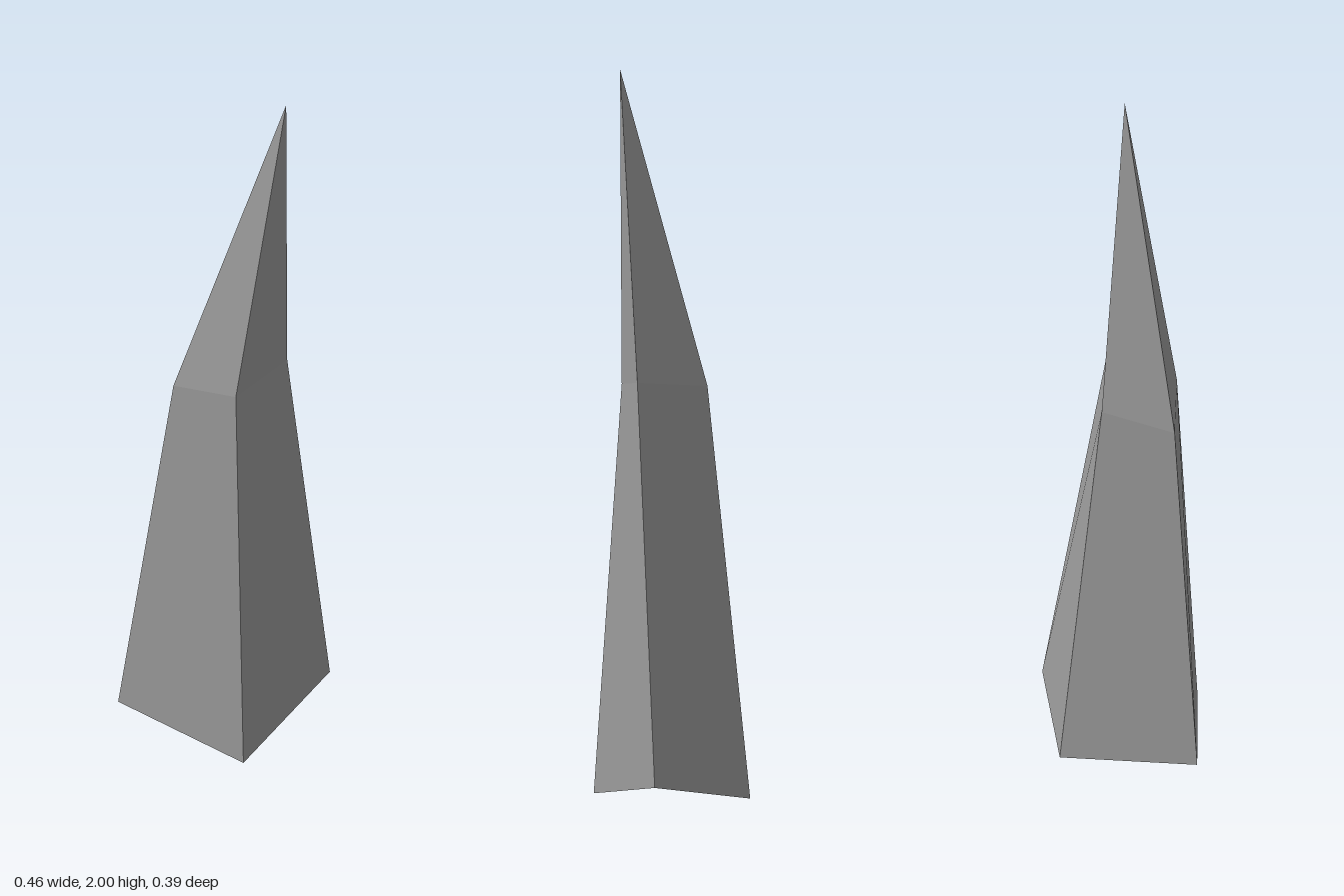
import * as THREE from 'three';

// Four-sided faceted spike: crooked base ring, bent shoulder ring, off-centre tip
export function createModel() {
  const ring = (corners) => corners.map((c) => new THREE.Vector3(...c));
  const base = ring([[-0.23, 0.07, -0.195], [0.15, 0.015, -0.129], [0.23, 0.07, 0.176], [-0.19, 0, 0.195]]);
  const shoulder = ring([[-0.155, 1.09, -0.065], [0.045, 1.13, -0.045], [0.056, 1.15, 0.161], [-0.14, 1.12, 0.133]]);
  const tip = new THREE.Vector3(0.008, 2, 0.193);

  const positions = [];
  const normals = [];

  // One facet of three or four corners, shaded evenly with a single normal
  function facet(a, b, c, d) {
    const across = c.clone().sub(a);
    const normal = across.cross((d ?? a).clone().sub(b)).normalize();
    const corners = d ? [a, b, c, a, c, d] : [a, b, c];
    for (const corner of corners) {
      positions.push(...corner.toArray());
      normals.push(...normal.toArray());
    }
  }

  base.forEach((low, i) => {
    const n = (i + 1) % base.length;
    facet(shoulder[i], shoulder[n], base[n], low); // lower wall
    facet(shoulder[i], tip, shoulder[n]); // upper wall
  });
  facet(...base); // underside

  const geometry = new THREE.BufferGeometry();
  geometry.setAttribute('position', new THREE.Float32BufferAttribute(positions, 3));
  geometry.setAttribute('normal', new THREE.Float32BufferAttribute(normals, 3));

  const spike = new THREE.Mesh(geometry, new THREE.MeshStandardMaterial({ color: 0x9a9a9a }));
  spike.name = 'spike';

  const group = new THREE.Group();
  group.name = 'rockSpike';
  group.add(spike);
  return group;
}
